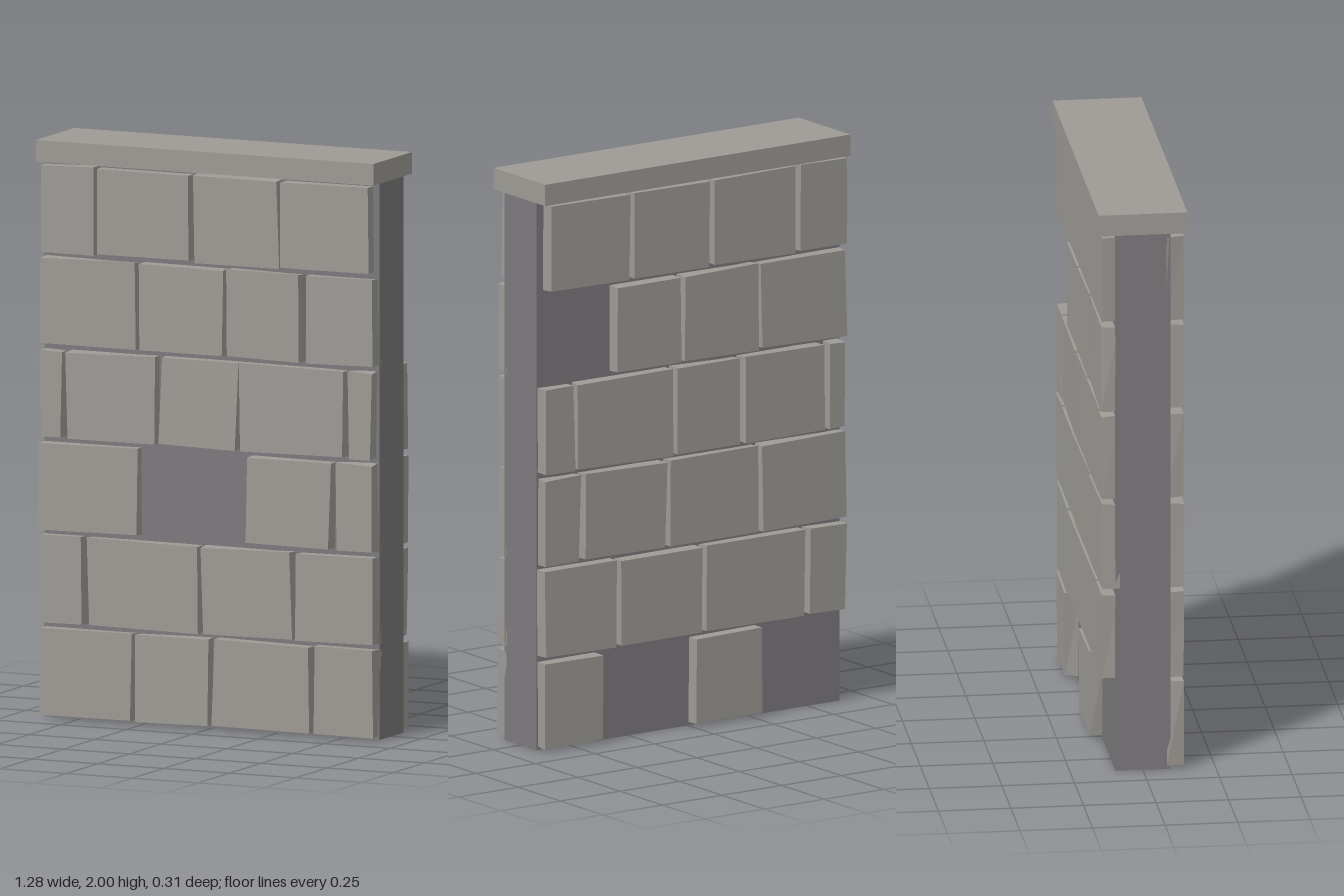
import * as THREE from 'three';

export function createModel() {
  const wall = new THREE.Group();
  wall.name = 'stoneWall';

  const stone = new THREE.MeshStandardMaterial({ color: 0x9e9b96 });
  stone.name = 'stone grey';
  const mortar = new THREE.MeshStandardMaterial({ color: 0x7c7a7c });
  mortar.name = 'mortar grey';

  // Small seeded generator, -1 to 1
  let seed = 11;
  const jitter = (amount) => {
    seed = (seed * 16807) % 2147483647;
    return (seed / 2147483647 * 2 - 1) * amount;
  };

  const addBox = (name, material, w, h, d, y) => {
    const mesh = new THREE.Mesh(new THREE.BoxGeometry(w, h, d), material);
    mesh.position.y = y;
    mesh.name = name;
    wall.add(mesh);
  };

  // Mortar core and coping slab
  addBox('core', mortar, 1.27, 1.925, 0.19, 0.9625);
  addBox('copingSlab', stone, 1.28, 0.075, 0.306, 1.9625);

  // Rough-cut block: a box whose eight corners are nudged
  const blockGeometry = (w, h, d) => {
    const geometry = new THREE.BoxGeometry(w, h, d).toNonIndexed();
    const corners = Array.from({ length: 8 }, () => [jitter(0.006), jitter(0.004)]);
    const p = geometry.attributes.position;
    for (let i = 0; i < p.count; i++) {
      const id = (p.getX(i) > 0 ? 1 : 0) + (p.getY(i) > 0 ? 2 : 0) + (p.getZ(i) > 0 ? 4 : 0);
      p.setXY(i, p.getX(i) + corners[id][0], p.getY(i) + corners[id][1]);
    }
    geometry.computeVertexNormals();
    return geometry;
  };

  // Courses from the bottom up: [left edge, right edge, 1 if turned towards -x]
  const frontCourses = [
    [[-0.63, -0.285], [-0.265, 0.005, 1], [0.025, 0.385], [0.405, 0.63, 1]],
    [[-0.63, -0.47], [-0.45, -0.035, 1], [-0.015, 0.32], [0.34, 0.63]],
    [[-0.635, -0.265], [0.15, 0.47, 1], [0.49, 0.63]],
    [[-0.63, -0.55], [-0.53, -0.195], [-0.175, 0.115], [0.125, 0.52], [0.54, 0.625]],
    [[-0.63, -0.27], [-0.255, 0.06, 1], [0.08, 0.355, 1], [0.375, 0.63]],
    [[-0.63, -0.43], [-0.415, -0.07, 1], [-0.05, 0.27], [0.285, 0.61]],
  ];
  // The back is laid in the same way and turned half round, so x is reversed
  const backCourses = [
    [[-0.63, -0.39, 1], [0, 0.275]],
    [[-0.63, -0.33, 1], [-0.31, 0.025], [0.045, 0.46], [0.48, 0.63]],
    [[-0.63, -0.485], [-0.465, -0.125], [-0.11, 0.26], [0.28, 0.63]],
    [[-0.63, -0.51], [-0.49, -0.1, 1], [-0.08, 0.19], [0.205, 0.54], [0.56, 0.63]],
    [[-0.33, -0.06], [-0.045, 0.26], [0.28, 0.63, 1]],
    [[-0.61, -0.275], [-0.26, 0.06], [0.075, 0.42], [0.435, 0.63]],
  ];

  const layBlocks = (name, courses) => {
    const face = new THREE.Group();
    face.name = name;
    courses.forEach((course, row) => {
      for (const [x0, x1, turned] of course) {
        const block = new THREE.Mesh(blockGeometry(x1 - x0, 0.3, 0.06), stone);
        block.position.set((x0 + x1) / 2, 0.162 + row * 0.3205, 0.111);
        block.rotation.set(jitter(0.008), turned ? -0.014 : 0.006, jitter(0.008));
        block.name = 'stoneBlock';
        face.add(block);
      }
    });
    wall.add(face);
    return face;
  };
  layBlocks('frontBlocks', frontCourses);
  layBlocks('backBlocks', backCourses).rotation.y = Math.PI;

  return wall;
}
